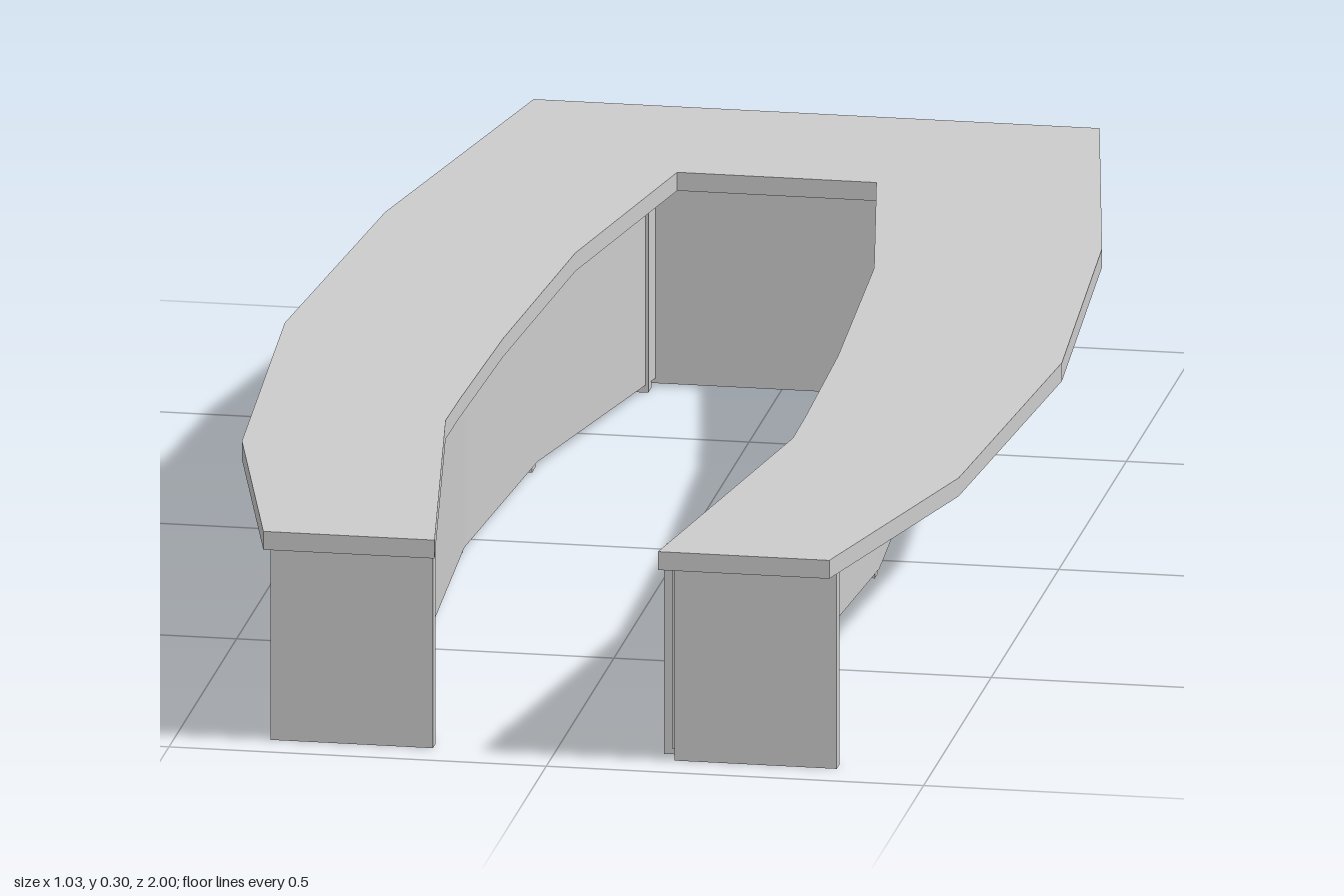
import * as THREE from 'three';

const material = new THREE.MeshStandardMaterial({ color: 0xcccccc, flatShading: true });

// Extrude a plan outline of [x, z] points from y0 up to y1
function slab(name, points, y0, y1) {
  const shape = new THREE.Shape(points.map(([x, z]) => new THREE.Vector2(x, -z)));
  const geometry = new THREE.ExtrudeGeometry(shape, { depth: y1 - y0, bevelEnabled: false });
  geometry.rotateX(-Math.PI / 2).translate(0, y0, 0);
  const mesh = new THREE.Mesh(geometry, material);
  mesh.name = name;
  return mesh;
}

// Box given by its extents
function block(name, x0, x1, y0, y1, z0, z1) {
  const mesh = new THREE.Mesh(new THREE.BoxGeometry(x1 - x0, y1 - y0, z1 - z0), material);
  mesh.position.set((x0 + x1) / 2, (y0 + y1) / 2, (z0 + z1) / 2);
  mesh.name = name;
  return mesh;
}

export function createModel() {
  const model = new THREE.Group();
  model.name = 'conferenceTable';
  const mirror = (points) => points.map(([x, z]) => [-x, z]).reverse();

  // U-shaped top, open towards the front
  const half = [
    [0.375, -1], [0.475, -0.46], [0.515, 0.06], [0.475, 0.6], [0.375, 1],
    [0.148, 1], [0.23, 0.46], [0.229, 0.36], [0.222, 0.08], [0.198, -0.32], [0.132, -0.705],
  ];
  model.add(slab('tableTop', [...half, ...mirror(half)], 0.275, 0.3));

  // Bent modesty panels under both arms, with end panels and posts
  const path = [[0.165, -0.735], [0.25, -0.33], [0.275, 0.07], [0.25, 0.495], [0.165, 0.925]];
  const thickness = 0.012;
  for (const side of [1, -1]) {
    const arm = new THREE.Group();
    arm.name = side > 0 ? 'leftArmSupport' : 'rightArmSupport';
    const line = path.map(([x, z]) => [side * x, z]);
    const offset = line.map(([x, z]) => [x - thickness, z]).reverse();
    arm.add(slab('modestyPanel', [...line, ...offset], 0.01, 0.28));

    // Posts stand on the same face of both panels
    const postZ = [-0.71, -0.325, 0.07, 0.5, 0.905];
    line.forEach(([x], i) => {
      arm.add(block('post', x - 0.024, x - 0.004, 0, 0.28, postZ[i] - 0.012, postZ[i] + 0.012));
    });

    // Flat panel closing the front end of the arm
    const [a, b] = side > 0 ? [0.16, 0.375] : [-0.375, -0.16];
    arm.add(block('endPanel', a, b, 0, 0.275, 0.925, 0.945));
    model.add(arm);
  }

  // Panel across the closed back end
  model.add(block('backPanel', -0.19, 0.19, 0.003, 0.275, -0.75, -0.733));
  return model;
}
